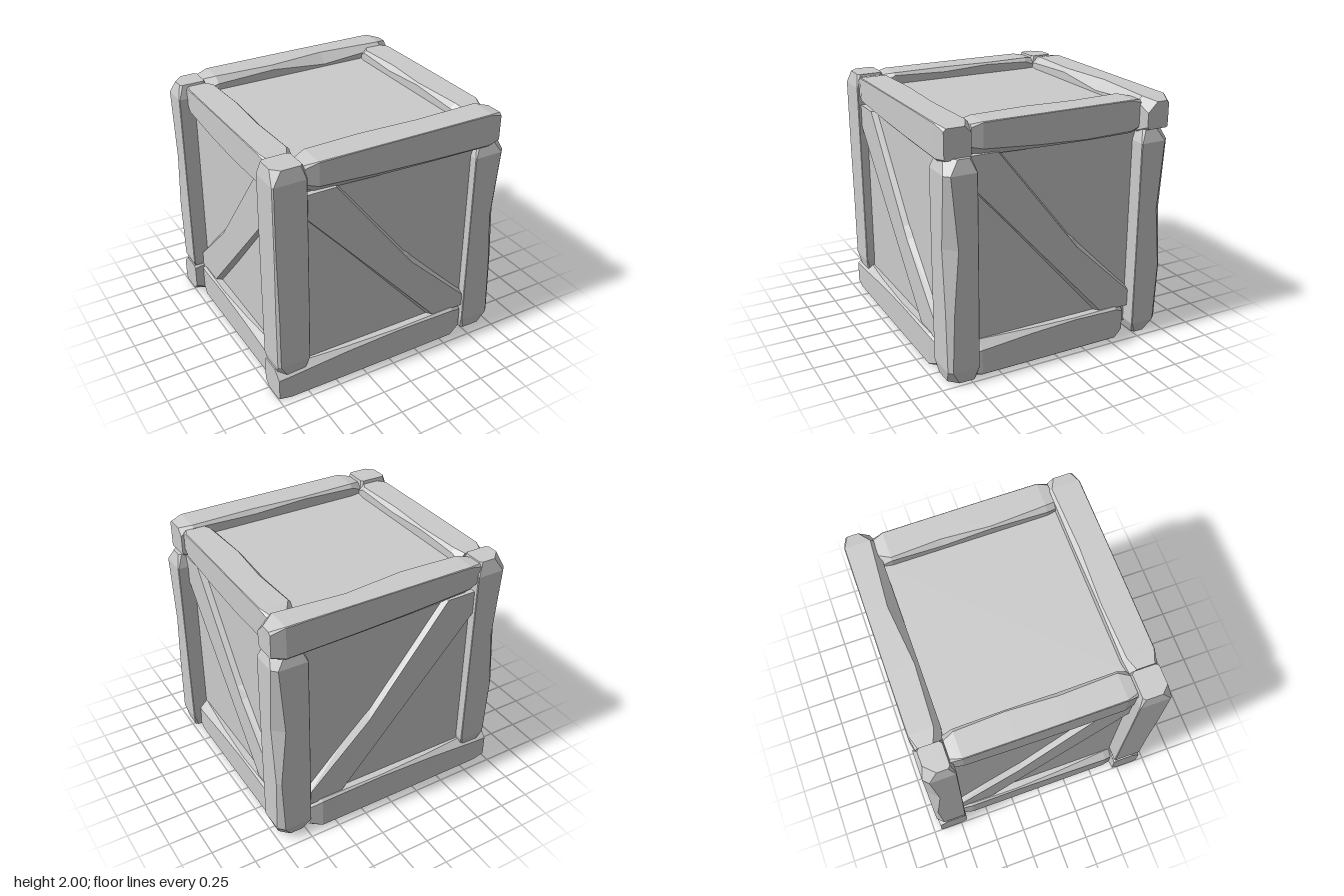
import * as THREE from 'three';

const material = new THREE.MeshStandardMaterial({ color: 0xcccccc, flatShading: true });

// Solid skin over closed rings (counter-clockwise seen from the last ring), capped at both ends
function loft(rings) {
  const n = rings[0].length, pos = [];
  const tri = (a, b, c) => pos.push(...a, ...b, ...c);
  for (let i = 0; i < rings.length - 1; i++) {
    for (let j = 0; j < n; j++) {
      const k = (j + 1) % n, a = rings[i], b = rings[i + 1];
      tri(a[j], a[k], b[k]);
      tri(a[j], b[k], b[j]);
    }
  }
  const first = rings[0], last = rings[rings.length - 1];
  for (let j = 1; j < n - 1; j++) {
    tri(first[0], first[j + 1], first[j]);
    tri(last[0], last[j], last[j + 1]);
  }
  const g = new THREE.BufferGeometry();
  g.setAttribute('position', new THREE.Float32BufferAttribute(pos, 3));
  g.computeVertexNormals();
  return g;
}

// Chip sizes along one edge of a beam, at the six stations
const SHARP = [0.02, 0.006, 0.004, 0.004, 0.006, 0.02];
const WAVY = [0.05, 0.03, 0.015, 0.035, 0.02, 0.05];
const WAVY_B = [0.06, 0.02, 0.04, 0.015, 0.04, 0.04];
const WORN = [0.07, 0.05, 0.03, 0.08, 0.04, 0.08];
const RISING = [0.09, 0.08, 0.05, 0.03, 0.015, 0.01];
const FALLING = [0.07, 0.065, 0.03, 0.012, 0.02, 0.03];
const STATIONS = [0, 0.06, 0.34, 0.62, 0.94, 1];

// Chipped timber along an axis; edges run (lo,lo) (hi,lo) (hi,hi) (lo,hi) across it
function beam(name, axis, lo, hi, edges, tip = [0.015, 0.015]) {
  const u = (axis + 1) % 3, v = (axis + 2) % 3;
  const rings = STATIONS.map((t, s) => {
    const inset = s === 0 ? tip[0] : s === 5 ? tip[1] : 0;
    const c = edges.map((e) => e[s]);
    const u0 = lo[u] + inset, u1 = hi[u] - inset, v0 = lo[v] + inset, v1 = hi[v] - inset;
    return [
      [u0, v0 + c[0]], [u0 + c[0], v0], [u1 - c[1], v0], [u1, v0 + c[1]],
      [u1, v1 - c[2]], [u1 - c[2], v1], [u0 + c[3], v1], [u0, v1 - c[3]],
    ].map(([a, b]) => {
      const p = [0, 0, 0];
      p[axis] = lo[axis] + (hi[axis] - lo[axis]) * t;
      p[u] = a;
      p[v] = b;
      return p;
    });
  });
  const mesh = new THREE.Mesh(loft(rings), material);
  mesh.name = name;
  return mesh;
}

// Diagonal brace: outer outline and the wider outline where it meets the panel
const BRACE_TOP = [[-0.75, 1.58], [0.44, 0.26], [0.76, 0.26], [0.76, 0.33],
  [0.19, 0.88], [0.12, 0.97], [-0.49, 1.75], [-0.75, 1.75]];
const BRACE_BASE = [[-0.75, 1.565], [0.39, 0.26], [0.76, 0.26], [0.76, 0.37],
  [0.22, 0.92], [0.14, 0.99], [-0.46, 1.75], [-0.75, 1.75]];

function brace(name, place, mirrored) {
  const rings = [[BRACE_BASE, 0.85], [BRACE_TOP, 0.915]].map(([outline, w]) => {
    const ring = outline.map(([a, y]) => place(a, y, w));
    return mirrored ? [ring[0], ...ring.slice(1).reverse()] : ring;
  });
  const mesh = new THREE.Mesh(loft(rings), material);
  mesh.name = name;
  return mesh;
}

export function createModel() {
  const crate = new THREE.Group();
  crate.name = 'woodenCrate';

  // Recessed panels
  const panels = new THREE.Mesh(new THREE.BoxGeometry(1.74, 1.8, 1.74), material);
  panels.position.y = 1;
  panels.name = 'panels';
  crate.add(panels);

  // Corner posts: those at -x reach the top, those at +x reach the ground
  crate.add(
    beam('frontRightPost', 1, [-1, 0.22, 0.69], [-0.73, 2, 0.94],
      [SHARP, [0.06, 0.02, 0.02, 0.01, 0.01, 0.06], SHARP, SHARP], [0.02, 0.02]),
    beam('backRightPost', 1, [-1, 0.2, -0.945], [-0.73, 1.99, -0.7],
      [WORN, SHARP, SHARP, SHARP], [0.03, 0.03]),
    beam('frontLeftPost', 1, [0.72, 0.01, 0.69], [1, 1.76, 0.94],
      [SHARP, SHARP, [0.07, 0.03, 0.05, 0.09, 0.04, 0.08], SHARP], [0.02, 0.03]),
    beam('backLeftPost', 1, [0.72, 0.02, -0.94], [1, 1.76, -0.69],
      [SHARP, SHARP, SHARP, WORN], [0.04, 0.03]),
  );

  // Front and back rails
  crate.add(
    beam('frontTopRail', 0, [-0.74, 1.73, 0.69], [0.94, 2, 0.94],
      [SHARP, WAVY, SHARP, RISING], [0.02, 0.02]),
    beam('backTopRail', 0, [-0.76, 1.73, -0.945], [1, 2, -0.7],
      [RISING, SHARP, WORN, SHARP], [0.02, 0.03]),
    beam('frontBottomRail', 0, [-1, 0, 0.69], [0.71, 0.275, 0.94],
      [WAVY, SHARP, FALLING, SHARP], [0.005, 0.03]),
    beam('backBottomRail', 0, [-1, 0, -0.94], [0.72, 0.275, -0.69],
      [SHARP, FALLING, SHARP, WAVY_B], [0.005, 0.03]),
  );

  // Side rails
  crate.add(
    beam('leftTopRail', 2, [0.69, 1.73, -0.72], [0.935, 1.99, 0.7],
      [SHARP, FALLING.slice().reverse(), SHARP, WAVY_B]),
    beam('rightTopRail', 2, [-0.94, 1.73, -0.72], [-0.7, 1.99, 0.7],
      [FALLING, SHARP, WAVY, SHARP]),
    beam('leftBottomRail', 2, [0.69, 0, -0.65], [0.94, 0.275, 0.72],
      [WAVY, SHARP, FALLING.slice().reverse(), SHARP], [0.03, 0.01]),
    beam('rightBottomRail', 2, [-0.94, 0, -0.7], [-0.69, 0.275, 0.72],
      [SHARP, WAVY_B, SHARP, FALLING.slice().reverse()]),
  );

  // Diagonal braces on the four walls
  crate.add(
    brace('frontBrace', (a, y, w) => [a, y, w], false),
    brace('backBrace', (a, y, w) => [a, y, -w], true),
    brace('leftBrace', (a, y, w) => [w, y, -a], false),
    brace('rightBrace', (a, y, w) => [-w, y, -a], true),
  );

  return crate;
}
